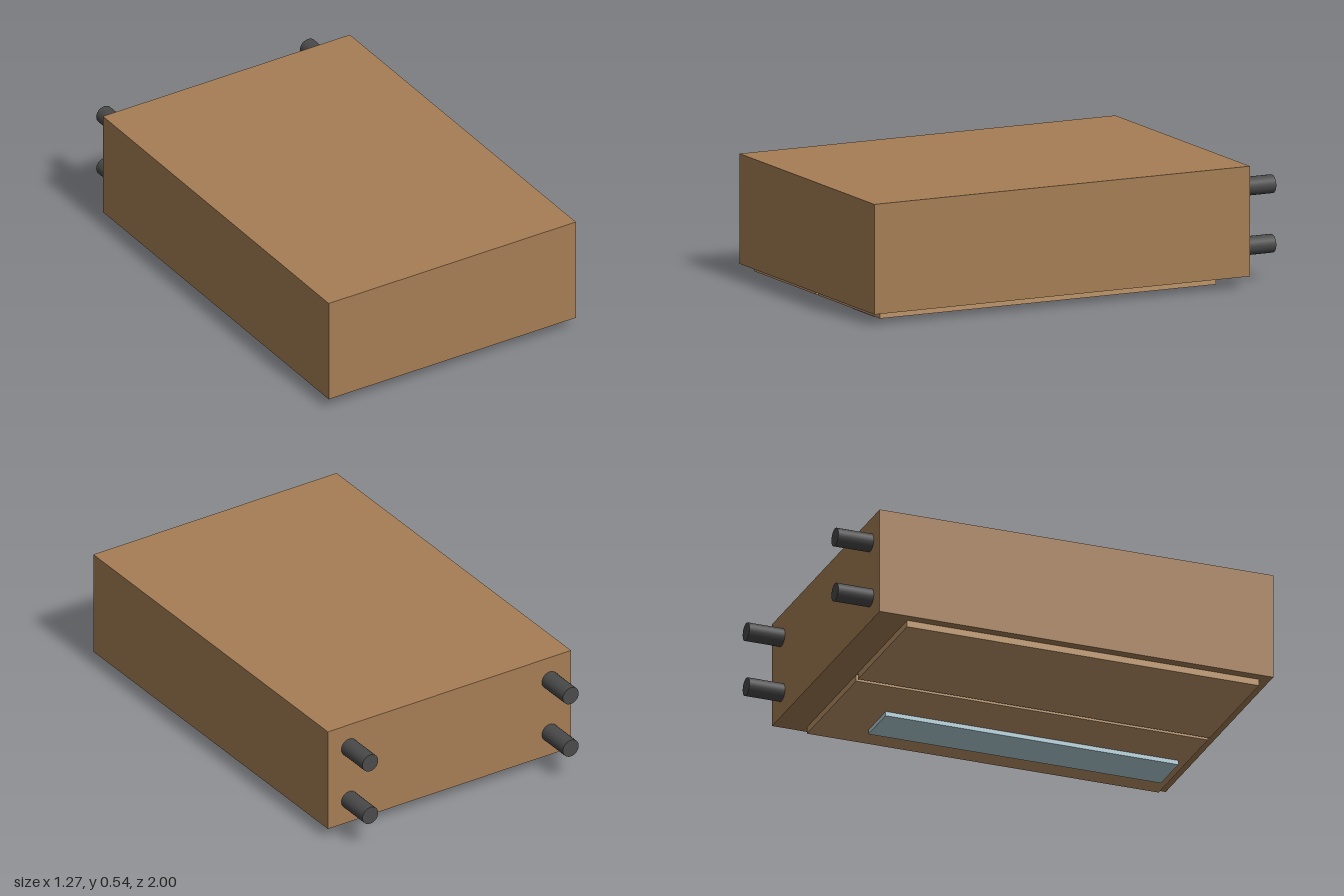
import * as THREE from 'three';

const mat = (color) => new THREE.MeshStandardMaterial({ color });

// Box given by its min and max corners
function box(name, min, max, material) {
  const size = max.map((v, i) => v - min[i]);
  const mesh = new THREE.Mesh(new THREE.BoxGeometry(...size), material);
  mesh.position.set(...max.map((v, i) => (v + min[i]) / 2));
  mesh.name = name;
  return mesh;
}

export function createModel() {
  const model = new THREE.Group();
  model.name = 'cabinet';
  const wood = mat(0xa57d55);
  const doorWood = mat(0xbc9468);
  const glass = mat(0xb4d2dc);
  const dark = mat(0x4a4a4a);

  // Cabinet carcass, lying on its door side
  model.add(box('body', [-0.633, 0.05, -0.835], [0.633, 0.537, 1], wood));

  // Pair of doors on the underside, with a narrow gap between them
  model.add(box('leftDoor', [0.01, 0.02, -0.69], [0.59, 0.05, 0.95], doorWood));
  model.add(box('rightDoor', [-0.59, 0.02, -0.69], [-0.01, 0.05, 0.95], doorWood));

  // Long pane set on the left door
  model.add(box('glassPane', [0.253, 0, -0.456], [0.457, 0.022, 0.908], glass));

  // Four round legs at the back end
  const legGeometry = new THREE.CylinderGeometry(0.041, 0.041, 0.165, 24).rotateX(Math.PI / 2);
  for (const x of [-0.522, 0.522]) {
    for (const y of [0.162, 0.425]) {
      const leg = new THREE.Mesh(legGeometry, dark);
      leg.position.set(x, y, -0.9175);
      leg.name = 'leg';
      model.add(leg);
    }
  }
  return model;
}
